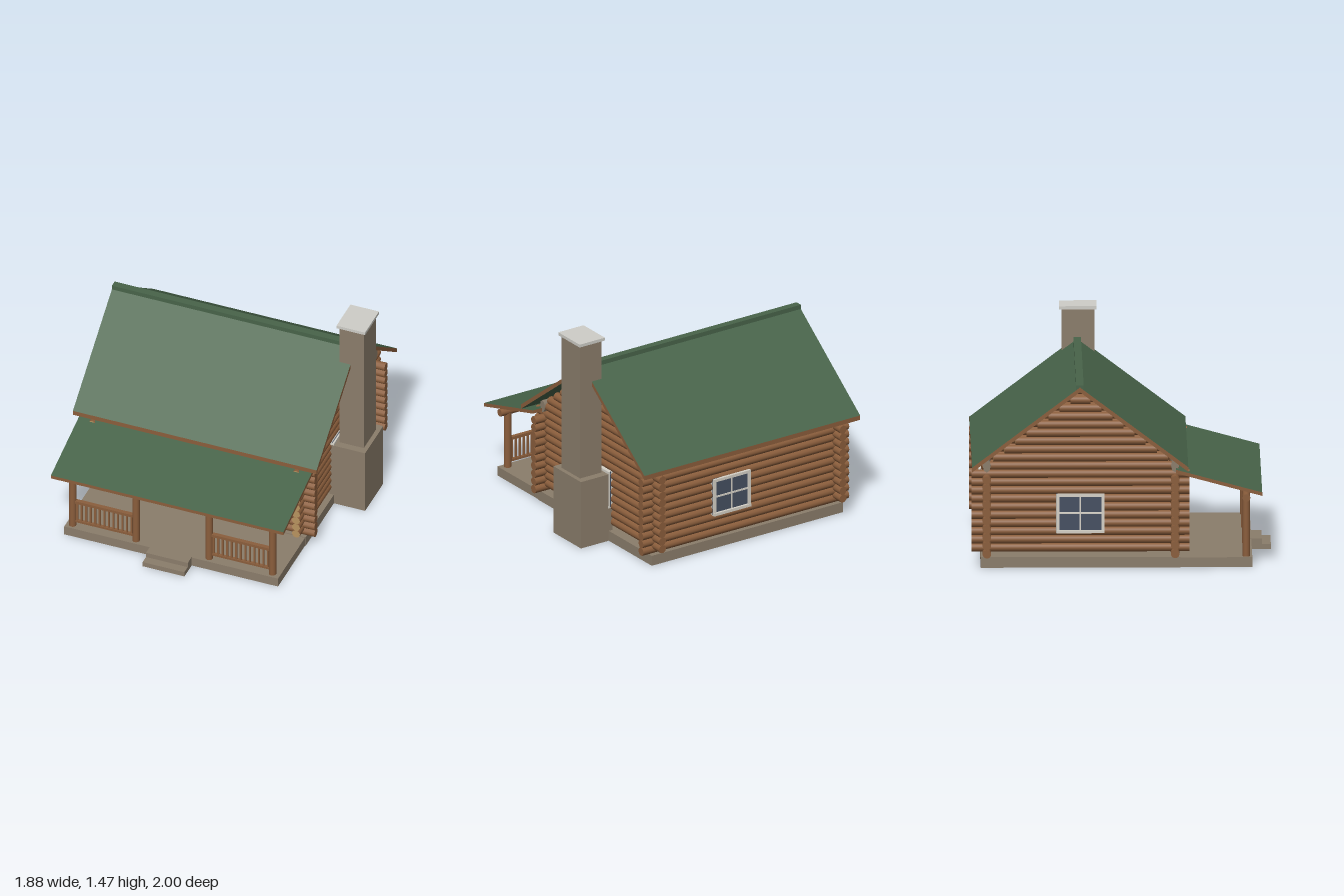
import * as THREE from 'three';

export function createModel() {
  const model = new THREE.Group();
  model.name = 'logCabin';
  const mat = (name, color) => {
    const m = new THREE.MeshStandardMaterial({ color });
    m.name = name;
    return m;
  };
  const wood = mat('log brown', 0x8b5e3c);
  const cutWood = mat('cut log end', 0xb8935f);
  const stone = mat('stone', 0x8b7d6b);
  const green = mat('roof green', 0x48644a);
  const pale = mat('pale concrete', 0xcfcec8);
  const trim = mat('window trim', 0xd6d2c8);
  const glass = mat('glass', 0x465062);
  const metal = mat('dark metal', 0x3c3630);

  const add = (parent, name, geo, material) => {
    const m = new THREE.Mesh(geo, material);
    m.name = name;
    parent.add(m);
    return m;
  };
  const group = (name, parent = model) => {
    const g = new THREE.Group();
    g.name = name;
    parent.add(g);
    return g;
  };
  // box given by its minimum and maximum along each axis
  const box = (parent, name, x0, x1, y0, y1, z0, z1, material) => {
    const m = add(parent, name, new THREE.BoxGeometry(x1 - x0, y1 - y0, z1 - z0), material);
    m.position.set((x0 + x1) / 2, (y0 + y1) / 2, (z0 + z1) / 2);
    return m;
  };
  // round logs along x or z; the end materials are listed as [high end, low end]
  const log = (parent, name, axis, a, b, y, across, r, ends = [wood, wood]) => {
    const geo = new THREE.CylinderGeometry(r, r, b - a, 12);
    if (axis === 'x') geo.rotateZ(-Math.PI / 2);
    else geo.rotateX(Math.PI / 2);
    const m = add(parent, name, geo, [wood, ...ends]);
    const mid = (a + b) / 2;
    if (axis === 'x') m.position.set(mid, y, across);
    else m.position.set(across, y, mid);
    return m;
  };

  // foundation, porch floor and steps
  const base = group('foundation');
  box(base, 'houseSlab', -0.84, 0.71, 0, 0.072, -0.94, 0.39, stone);
  box(base, 'porchFloor', -0.83, 0.705, 0, 0.066, 0.39, 0.87, stone);
  box(base, 'upperStep', -0.215, 0.085, 0, 0.07, 0.86, 0.94, stone);
  box(base, 'lowerStep', -0.215, 0.085, 0, 0.035, 0.94, 1.0, stone);

  // log walls with crossing corners, and stepped gables
  const pitch = 0.0556, r = 0.029, midZ = -0.275;
  const sideX = [-0.8, 0.665], wallZ = [-0.9, 0.355];
  const walls = group('logWalls');
  for (let i = 0; i < 10; i++) {
    for (const z of wallZ) log(walls, 'wallLog', 'x', -0.9, 0.77, 0.103 + i * pitch, z, r);
    for (const x of sideX) log(walls, 'sideLog', 'z', -1.0, 0.45, 0.131 + i * pitch, x, r, [cutWood, wood]);
  }
  for (let i = 0; i < 9; i++) {
    const half = 0.655 - i * 0.0735;
    for (const x of sideX)
      log(walls, 'gableLog', 'z', midZ - half, midZ + half, 0.687 + i * pitch, x, r, [cutWood, cutWood]);
  }
  for (const z of wallZ) {
    const plate = add(walls, 'topPlate', new THREE.CylinderGeometry(0.027, 0.027, 1.53, 8).rotateZ(Math.PI / 2), stone);
    plate.scale.y = 1.7;
    plate.position.set(-0.067, 0.69, z);
  }

  // sheared slabs with vertical edges: green top, wooden edges
  const roofSlab = (name, x0, x1, zLow, yLow, zHigh, yHigh, t, under) => {
    const geo = new THREE.BoxGeometry(x1 - x0, t, Math.abs(zHigh - zLow));
    const p = geo.attributes.position;
    const slope = (yHigh - yLow) / (zHigh - zLow);
    for (let i = 0; i < p.count; i++) p.setY(i, p.getY(i) + slope * p.getZ(i));
    geo.computeVertexNormals();
    const m = add(model, name, geo, [wood, wood, green, under, wood, wood]);
    m.position.set((x0 + x1) / 2, (yLow + yHigh - t) / 2, (zLow + zHigh) / 2);
  };
  roofSlab('frontRoof', -0.94, 0.81, 0.442, 0.7, -0.28, 1.243, 0.032, green);
  roofSlab('backRoof', -0.94, 0.81, -0.998, 0.7, -0.28, 1.243, 0.032, green);
  roofSlab('porchRoof', -0.9, 0.77, 0.935, 0.52, 0.36, 0.675, 0.024, stone);
  box(model, 'ridgeCap', -0.94, 0.81, 1.222, 1.255, -0.305, -0.255, green);

  // chimney
  const chimney = group('chimney');
  box(chimney, 'chimneyBase', 0.68, 0.935, 0, 0.483, -0.437, -0.115, stone);
  box(chimney, 'chimneyStack', 0.73, 0.905, 0.48, 1.448, -0.383, -0.165, stone);
  box(chimney, 'chimneyCap', 0.715, 0.92, 1.446, 1.467, -0.4, -0.15, pale);

  // windows face +z in their own frame and are then turned to their wall
  const addWindow = (x, z, turn, w) => {
    const g = group('window');
    const h = w / 2, y0 = 0.24, y1 = 0.5, f = 0.02;
    box(g, 'pane', -h, h, y0, y1, 0.028, 0.034, glass);
    for (const s of [-1, 1]) {
      const c = s * (h - f / 2);
      box(g, 'sideFrame', c - f / 2, c + f / 2, y0, y1, 0, 0.045, trim);
    }
    box(g, 'topFrame', -h, h, y1 - f, y1, 0, 0.046, trim);
    box(g, 'sill', -h, h, y0 - 0.005, y0 + 0.015, 0, 0.05, trim);
    box(g, 'uprightBar', -0.005, 0.005, y0, y1, 0.03, 0.039, trim);
    box(g, 'crossBar', -h, h, 0.363, 0.375, 0.03, 0.039, trim);
    g.position.set(x, 0, z);
    g.rotation.y = turn;
  };
  addWindow(-0.52, 0.355, 0, 0.29);
  addWindow(0.392, 0.355, 0, 0.29);
  addWindow(0.06, -0.9, Math.PI, 0.3);
  addWindow(-0.8, -0.277, -Math.PI / 2, 0.32);
  addWindow(0.665, -0.277, Math.PI / 2, 0.32);

  // front door
  const door = group('frontDoor');
  box(door, 'doorPanel', -0.18, 0.04, 0.072, 0.51, 0.355, 0.39, stone);
  for (const x of [-0.193, 0.037]) box(door, 'doorJamb', x, x + 0.016, 0.072, 0.525, 0.355, 0.402, trim);
  box(door, 'doorHead', -0.193, 0.053, 0.508, 0.525, 0.355, 0.403, trim);
  for (const x of [-0.153, -0.063]) box(door, 'doorPane', x, x + 0.07, 0.29, 0.48, 0.388, 0.394, glass);
  const knob = add(door, 'doorKnob', new THREE.SphereGeometry(0.008, 10, 8), metal);
  knob.position.set(0.015, 0.295, 0.396);

  // porch posts, beam and railings
  const porch = group('porch');
  const posts = [-0.785, -0.33, 0.195, 0.65], pz = 0.83;
  for (const x of posts) {
    const post = add(porch, 'porchPost', new THREE.CylinderGeometry(0.025, 0.025, 0.4, 14), wood);
    post.position.set(x, 0.265, pz);
  }
  log(porch, 'porchBeam', 'x', -0.85, 0.715, 0.472, pz, 0.026);
  for (const [a, b] of [[posts[0], posts[1]], [posts[2], posts[3]]]) {
    const rail = group('railing', porch);
    box(rail, 'topRail', a, b, 0.258, 0.278, pz - 0.014, pz + 0.014, wood);
    box(rail, 'bottomRail', a, b, 0.1, 0.116, pz - 0.01, pz + 0.01, wood);
    const n = 14;
    for (let i = 1; i < n; i++) {
      const x = a + ((b - a) * i) / n;
      box(rail, 'baluster', x - 0.006, x + 0.006, 0.11, 0.262, pz - 0.006, pz + 0.006, wood);
    }
  }
  return model;
}
